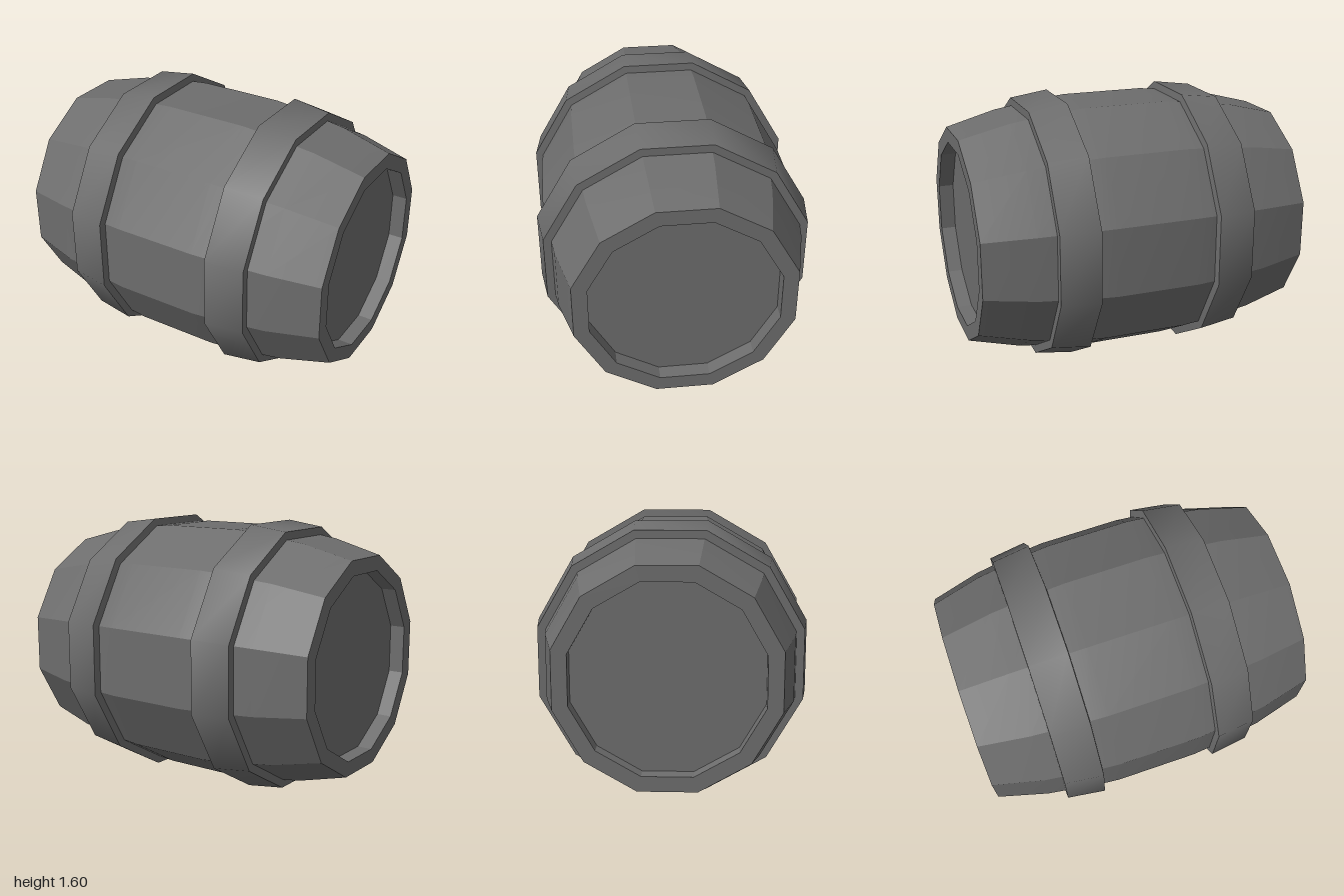
import * as THREE from 'three';
import { toCreasedNormals } from 'three/addons/utils/BufferGeometryUtils.js';

const SIDES = 12;
const AXIS_HEIGHT = 0.798;
const CORNER = 1 / Math.cos(Math.PI / SIDES); // flat-to-centre distance -> corner radius
const HEAD_X = 0.91;
const HEAD_RADIUS = 0.54;

const material = new THREE.MeshStandardMaterial({ color: 0x6d6d6d });

// Twelve-sided turning around the x axis; profile is [x, flat-to-centre distance]
function turned(profile, creaseAngle) {
  const points = profile.map(([x, r]) => new THREE.Vector2(r * CORNER, x));
  const geometry = new THREE.LatheGeometry(points, SIDES, Math.PI / SIDES);
  geometry.rotateZ(-Math.PI / 2);
  return toCreasedNormals(geometry, creaseAngle);
}

function addMesh(parent, name, geometry) {
  const mesh = new THREE.Mesh(geometry, material);
  mesh.name = name;
  parent.add(mesh);
  return mesh;
}

export function createModel() {
  const barrel = new THREE.Group();
  barrel.name = 'barrel';

  // Staves: half profile from the middle to the recessed end, mirrored
  const half = [[0.25, 0.763], [0.36, 0.753], [0.7, 0.705], [1, 0.628], [1, HEAD_RADIUS], [HEAD_X, HEAD_RADIUS]];
  const mirrored = half.map(([x, r]) => [-x, r]).reverse();
  addMesh(barrel, 'staves', turned([...mirrored, ...half], 0.35));

  // Hoop: smooth around, sharp at its rims, inner edges sunk into the staves
  const hoop = turned([[0.353, 0.74], [0.36, 0.798], [0.592, 0.767], [0.592, 0.705]], 0.7);

  // Flat head closing each end
  const head = new THREE.CircleGeometry(HEAD_RADIUS * CORNER, SIDES, Math.PI / SIDES);
  head.rotateY(Math.PI / 2);
  head.translate(HEAD_X, 0, 0);

  for (const [side, turn] of [['left', 0], ['right', Math.PI]]) {
    addMesh(barrel, side + 'Hoop', hoop).rotation.y = turn;
    addMesh(barrel, side + 'Head', head).rotation.y = turn;
  }

  barrel.position.y = AXIS_HEIGHT;
  const model = new THREE.Group();
  model.name = 'barrelModel';
  model.add(barrel);
  return model;
}
